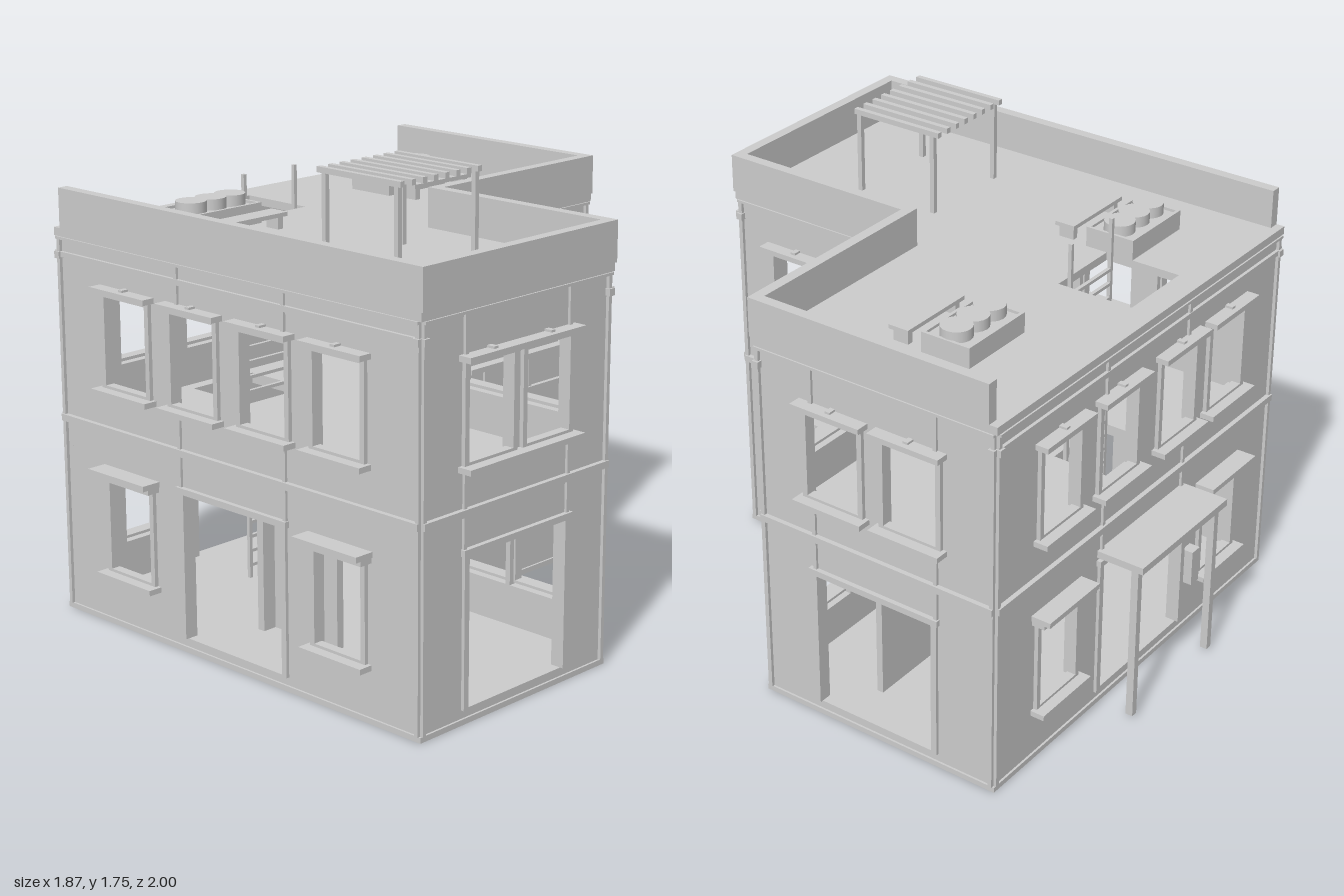
import * as THREE from 'three';

export function createModel() {
  const root = new THREE.Group();
  root.name = 'house';
  const grey = new THREE.MeshStandardMaterial({ color: 0xcccccc });
  grey.name = 'plain grey';

  const add = (parent, name, geo) => {
    const m = new THREE.Mesh(geo, grey);
    m.name = name;
    parent.add(m);
    return m;
  };
  // box given by its extents
  const box = (parent, name, x0, x1, y0, y1, z0, z1) => {
    const m = add(parent, name, new THREE.BoxGeometry(x1 - x0, y1 - y0, z1 - z0));
    m.position.set((x0 + x1) / 2, (y0 + y1) / 2, (z0 + z1) / 2);
    return m;
  };
  // outlines run anticlockwise, holes clockwise, so the reveals face into the openings
  const corners = (x0, x1, y0, y1) =>
    [[x0, y0], [x1, y0], [x1, y1], [x0, y1]].map(p => new THREE.Vector2(...p));
  const rectShape = (...r) => new THREE.Shape(corners(...r));
  const rectHole = (...r) => new THREE.Path(corners(...r).reverse());
  // horizontal plate from an outline of [x, z] points
  const plate = (name, pts, y0, y1, hole) => {
    const s = new THREE.Shape(pts.map(([x, z]) => new THREE.Vector2(x, -z)));
    if (hole) s.holes.push(rectHole(hole[0], hole[1], -hole[3], -hole[2]));
    const g = new THREE.ExtrudeGeometry(s, { depth: y1 - y0, bevelEnabled: false });
    g.rotateX(-Math.PI / 2);
    add(root, name, g).position.y = y0;
  };
  // L-shaped outline, grown outwards by d
  const outline = d => [[-0.86 - d, -0.815 - d], [-0.86 - d, 0.94 + d], [0.055 + d, 0.94 + d],
    [0.055 + d, 0.16 + d], [0.882 + d, 0.16 + d], [0.882 + d, -0.815 - d]];
  const stairwell = [-0.32, -0.02, -0.727, -0.43];

  // floors, roof and parapet (open along the back)
  plate('foundation', outline(0.008), 0, 0.02);
  plate('groundFloor', outline(-0.005), 0.02, 0.05);
  plate('upperFloor', outline(-0.005), 0.7, 0.74, stairwell);
  plate('roof', outline(0.012), 1.4, 1.43, stairwell);
  plate('parapet', [[-0.872, -0.795], [-0.872, 0.957], [0.072, 0.957], [0.072, 0.177], [0.896, 0.177],
    [0.896, -0.795], [0.856, -0.795], [0.856, 0.137], [0.032, 0.137], [0.032, 0.917], [-0.832, 0.917],
    [-0.832, -0.795]], 1.43, 1.575);

  const W = 0.115; // half width of a window opening
  const T = 0.04;  // wall thickness

  // window trim: frame per opening, one shared sill and hood
  function windowTrim(parent, centres, upper) {
    const g = new THREE.Group();
    g.name = upper ? 'upperWindow' : 'lowerWindow';
    parent.add(g);
    const [y0, y1] = upper ? [0.89, 1.225] : [0.205, 0.545];
    centres.forEach(c => {
      const s = rectShape(c - W - 0.012, c + W + 0.012, y0, y1 + 0.015);
      s.holes.push(rectHole(c - W + 0.008, c + W - 0.008, y0 + 0.01, y1 - 0.005));
      add(g, 'windowFrame', new THREE.ExtrudeGeometry(s, { depth: 0.035, bevelEnabled: false }))
        .position.z = -0.02;
      if (upper) box(g, 'hoodBracket', c - 0.01, c + 0.01, y1 + 0.03, y1 + 0.04, 0, 0.03);
    });
    const a = Math.min(...centres) - W - 0.028, b = Math.max(...centres) + W + 0.028;
    box(g, 'windowSill', a, b, y0 - 0.02, y0, -0.01, 0.055);
    box(g, 'windowHood', a, b, y1 + 0.012, y1 + 0.032, 0, 0.05);
    if (!upper) box(g, 'hoodCap', a - 0.005, b + 0.005, y1 + 0.032, y1 + 0.052, 0, 0.076);
  }

  // one facade, drawn facing +z; windows are lists of opening centres sharing a sill
  function facade(name, pos, turn, u0, u1, { upper, lower = [], door, strips = [], ties = [], band }) {
    const g = new THREE.Group();
    g.name = name;
    g.position.set(...pos);
    g.rotation.y = turn;
    root.add(g);
    const s = rectShape(u0, u1, 0.02, 1.4);
    upper.flat().forEach(c => s.holes.push(rectHole(c - W, c + W, 0.885, 1.23)));
    lower.flat().forEach(c => s.holes.push(rectHole(c - W, c + W, 0.2, 0.55)));
    if (door) s.holes.push(rectHole(door[0], door[1], 0.05, 0.585));
    add(g, 'wall', new THREE.ExtrudeGeometry(s, { depth: T, bevelEnabled: false })).position.z = -T;
    upper.forEach(c => windowTrim(g, c, true));
    lower.forEach(c => windowTrim(g, c, false));
    box(g, 'storeyBand', u0, u1, 0.72, 0.745, 0, 0.018);
    box(g, 'cornice', u0, u1, 1.39, 1.4, 0, 0.018);
    if (band) box(g, 'frieze', u0, u1, 1.325, 1.345, 0, 0.012);
    [[u0, u0 + 0.015], [u1 - 0.015, u1]].forEach(([a, b]) => {
      box(g, 'cornerStrip', a, b, 0.02, 1.4, 0, 0.012);
      box(g, 'cornerCap', a - 0.005, b + 0.005, 1.32, 1.345, 0, 0.02);
    });
    // strips run above the door and again above the upper windows
    strips.forEach(u => [[0.6, 0.875], [1.255, 1.4]].forEach(([a, b]) =>
      box(g, 'wallStrip', u - 0.007, u + 0.007, a, b, 0, 0.01)));
    ties.forEach(u => box(g, 'wallTie', u - 0.009, u + 0.009, 0.59, 0.88, 0, 0.01));
    if (door) {
      const [a, b] = door;
      box(g, 'doorJamb', a - 0.005, a + 0.018, 0.05, 0.585, -T, 0.012);
      box(g, 'doorJamb', b - 0.018, b + 0.005, 0.05, 0.585, -T, 0.012);
      box(g, 'doorLintel', a - 0.012, b + 0.012, 0.585, 0.608, -T, 0.018);
    }
  }

  const H = Math.PI / 2;
  facade('wingFront', [0, 0, 0.94], 0, -0.86, 0.055,
    { upper: [[-0.545], [-0.265]], door: [-0.66, -0.145], strips: [-0.66, -0.15] });
  facade('wingSide', [0.055, 0, 0], H, -0.94, -0.16,
    { upper: [[-0.67, -0.42]], lower: [[-0.67, -0.42]], ties: [-0.67, -0.42] });
  facade('mainFront', [0, 0, 0.16], 0, 0.055, 0.882,
    { upper: [[0.328, 0.588]], lower: [[0.328, 0.588]], ties: [0.315, 0.56] });
  facade('leftSide', [0.882, 0, 0], H, -0.16, 0.815,
    { upper: [[0.16], [0.48]], door: [0.06, 0.58], strips: [0.07, 0.58] });
  facade('back', [0, 0, -0.815], Math.PI, -0.882, 0.86,
    { upper: [[0.51], [0.19], [-0.18], [-0.525]], lower: [[0.51], [-0.525]],
      door: [-0.27, 0.285], strips: [-0.258, 0.252], band: true });
  facade('rightSide', [-0.86, 0, 0], -H, -0.815, 0.94,
    { upper: [[-0.455], [-0.11], [0.235], [0.58]], lower: [[-0.455], [0.58]],
      door: [-0.19, 0.33], strips: [-0.19, 0.33], band: true });

  // back porch with its letter box
  box(root, 'porchCanopy', -0.27, 0.28, 0.62, 0.647, -1, -0.815);
  [-0.245, 0.255].forEach(x => box(root, 'porchPost', x - 0.013, x + 0.013, 0.01, 0.62, -0.975, -0.947));
  box(root, 'letterBox', -0.345, -0.295, 0.21, 0.35, -0.858, -0.815);

  // ladder running through the stairwell
  [-0.29, -0.04].forEach(x => box(root, 'ladderRail', x - 0.007, x + 0.007, 0.05, 1.585, -0.472, -0.458));
  for (let y = 0.1; y < 1.42; y += 0.056)
    box(root, 'ladderRung', -0.29, -0.04, y - 0.006, y + 0.006, -0.472, -0.458);

  // interior partitions and furniture
  box(root, 'partition', 0.2, 0.72, 0.05, 0.7, -0.22, -0.195);
  box(root, 'partition', -0.575, -0.545, 0.05, 0.7, -0.06, 0.28);
  box(root, 'partitionReturn', -0.63, -0.575, 0.05, 0.7, -0.06, -0.03);
  box(root, 'sofaSeat', 0.4, 0.65, 0.05, 0.11, -0.55, -0.49);
  box(root, 'sofaBack', 0.4, 0.65, 0.05, 0.26, -0.58, -0.55);
  box(root, 'sideTable', 0.2, 0.3, 0.05, 0.28, -0.19, -0.12);

  // roof terrace: planters with clipped shrubs and a bench in front of each
  [-0.475, 0.49].forEach(cx => {
    const g = new THREE.Group();
    g.name = 'planter';
    g.position.set(cx, 1.43, -0.44);
    root.add(g);
    const rim = rectShape(-0.155, 0.155, -0.097, 0.097);
    rim.holes.push(rectHole(-0.143, 0.143, -0.085, 0.085));
    const geo = new THREE.ExtrudeGeometry(rim, { depth: 0.075, bevelEnabled: false });
    geo.rotateX(-H);
    add(g, 'planterBox', geo);
    box(g, 'soil', -0.145, 0.145, 0, 0.065, -0.087, 0.087);
    [-0.092, 0, 0.092].forEach(x =>
      add(g, 'shrub', new THREE.CylinderGeometry(0.056, 0.056, 0.05, 20)).position.set(x, 0.08, 0));
    box(g, 'benchSeat', -0.155, 0.155, 0.045, 0.06, 0.15, 0.23);
    [-0.13, 0.13].forEach(x => box(g, 'benchLeg', x - 0.012, x + 0.012, 0, 0.045, 0.16, 0.22));
  });

  // pergola
  for (let i = 0; i < 8; i++) {
    const x = -0.592 + i * 0.053;
    box(root, 'pergolaSlat', x - 0.01, x + 0.01, 1.73, 1.75, 0.225, 0.605);
  }
  [-0.592, -0.221].forEach(x => [0.255, 0.585].forEach(z =>
    box(root, 'pergolaPost', x - 0.009, x + 0.009, 1.43, 1.73, z - 0.009, z + 0.009)));

  return root;
}
